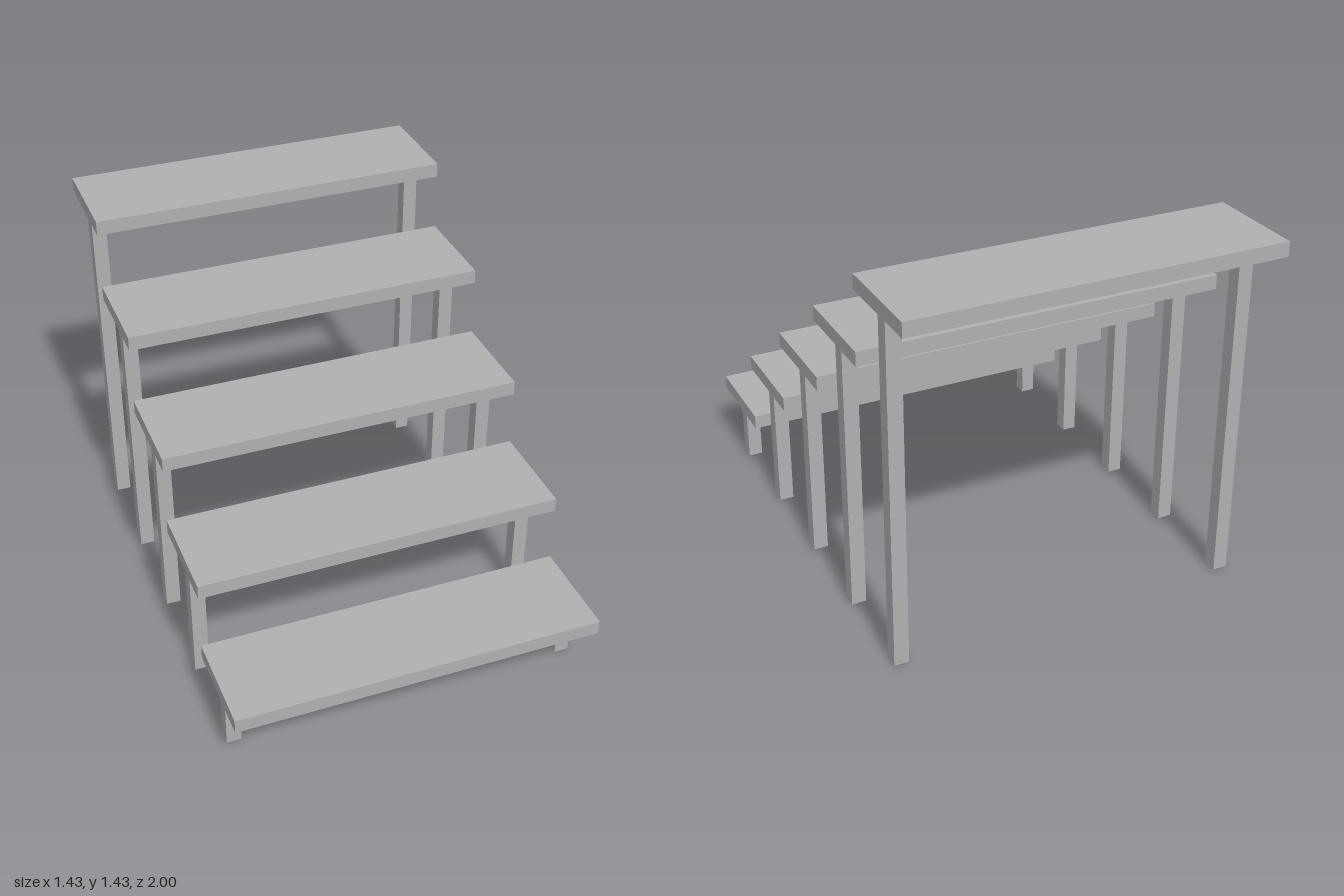
import * as THREE from 'three';

export function createModel() {
  const model = new THREE.Group();
  model.name = 'steppedStand';
  const grey = new THREE.MeshStandardMaterial({ color: 0xb0b0b0 });
  grey.name = 'plain grey';

  const steps = 5, rise = 2 / 7, depth = 0.4;
  const width = 10 / 7, thickness = 0.057, post = 0.057, postX = 0.671;

  const addBox = (parent, name, size, position) => {
    const mesh = new THREE.Mesh(new THREE.BoxGeometry(...size), grey);
    mesh.name = name;
    mesh.position.set(...position);
    parent.add(mesh);
  };

  // Each tier is a plank on two posts, rising towards the back
  for (let i = 0; i < steps; i++) {
    const tier = new THREE.Group();
    tier.name = `tier${i + 1}`;
    tier.position.z = 0.8 - i * depth;
    const top = (i + 1) * rise;
    const postHeight = top - thickness;

    addBox(tier, 'plank', [width, thickness, depth], [0, top - thickness / 2, 0]);
    for (const side of [1, -1]) {
      addBox(tier, side > 0 ? 'leftPost' : 'rightPost',
        [post, postHeight, post], [side * postX, postHeight / 2, 0]);
    }
    model.add(tier);
  }
  return model;
}
